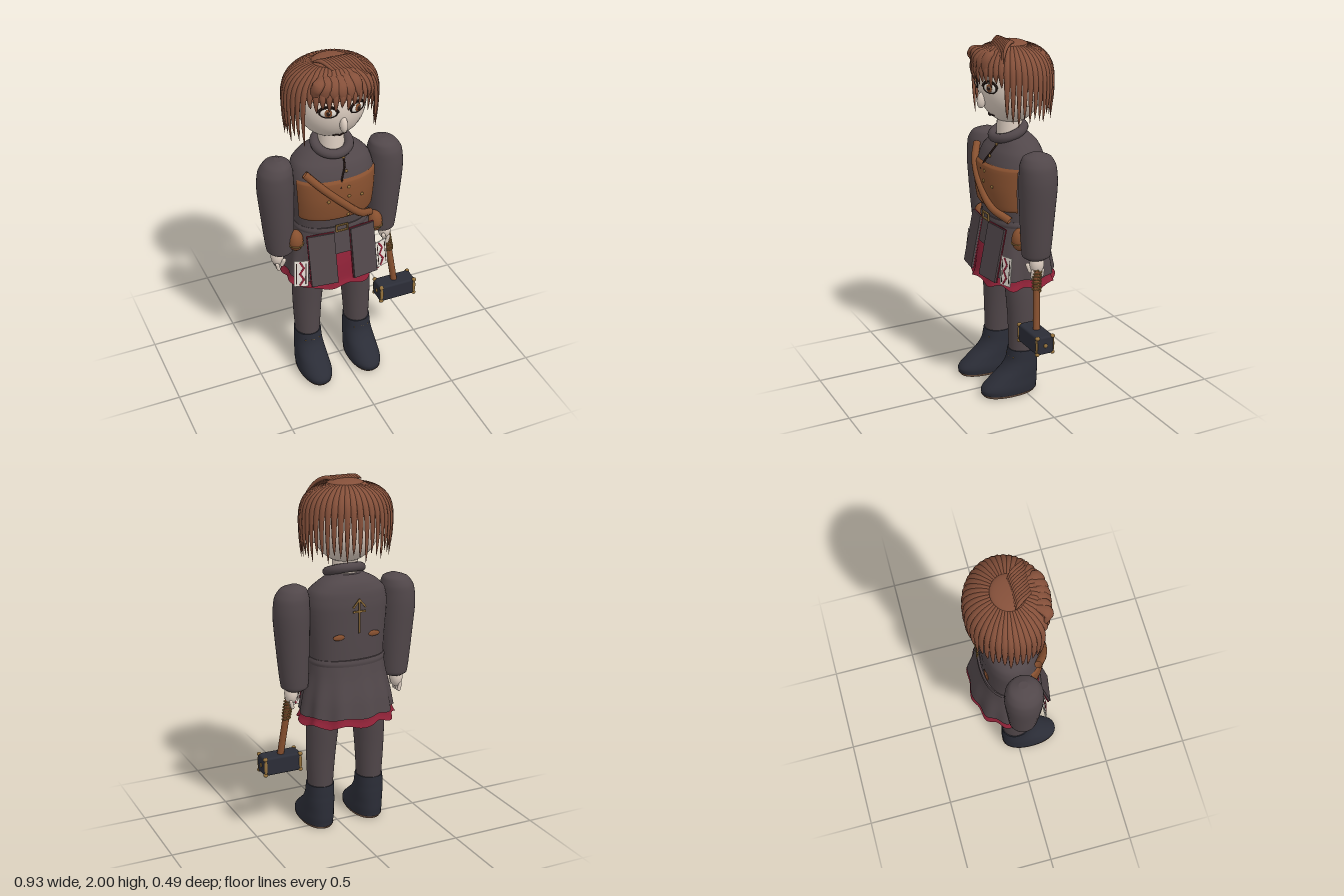
import * as THREE from 'three';
import { RoundedBoxGeometry } from 'three/addons/geometries/RoundedBoxGeometry.js';

const mat = (name, color, side = THREE.FrontSide) => {
  const m = new THREE.MeshStandardMaterial({ color, side });
  m.name = name;
  return m;
};
const V = (x, y, z) => new THREE.Vector3(x, y, z);

export function createModel() {
  const D = THREE.DoubleSide;
  const cloth = mat('greyCloth', 0x51474a, D), leather = mat('leather', 0x87502f, D);
  const hair = mat('hair', 0x85503a, D), navy = mat('navyLeather', 0x2b2d37);
  const skin = mat('skin', 0xdccdc0), red = mat('redCloth', 0x8c2136, D);
  const gold = mat('gold', 0x94713c), white = mat('white', 0xe6dfd6);
  const dark = mat('darkBrown', 0x2a1b17), sole = mat('sole', 0x8a6a55);

  const model = new THREE.Group();
  const body = new THREE.Group();
  body.name = 'figure';
  body.position.x = -0.045;
  model.add(body);

  const add = (name, geo, material, pos = [0, 0, 0], rot = [0, 0, 0], scale = [1, 1, 1], parent = body) => {
    const m = new THREE.Mesh(geo, material);
    m.name = name;
    m.position.set(...pos);
    m.rotation.set(...rot);
    m.scale.set(...scale);
    parent.add(m);
    return m;
  };
  const ball = new THREE.SphereGeometry(1, 28, 20);
  const box = (x, y, z) => new THREE.BoxGeometry(x, y, z);

  // Joins rings of points into a surface; rings run upwards
  const join = (rings, closed, caps) => {
    const n = rings[0].length, pos = [], idx = [];
    rings.forEach(r => r.forEach(p => pos.push(p.x, p.y, p.z)));
    for (let i = 0; i < rings.length - 1; i++)
      for (let j = 0; j < (closed ? n : n - 1); j++) {
        const k = (j + 1) % n, a = i * n + j, c = i * n + k;
        idx.push(a, a + n, c, c, a + n, c + n);
      }
    if (caps) [0, rings.length - 1].forEach((i, top) => {
      const mid = rings[i].reduce((s, p) => s.add(p), V(0, 0, 0)).divideScalar(n);
      const first = pos.length / 3;
      rings[i].forEach(p => pos.push(p.x, p.y, p.z));
      pos.push(mid.x, mid.y, mid.z);
      for (let j = 0; j < n; j++) {
        const a = first + j, b = first + (j + 1) % n;
        top ? idx.push(first + n, b, a) : idx.push(first + n, a, b);
      }
    });
    const g = new THREE.BufferGeometry();
    g.setAttribute('position', new THREE.Float32BufferAttribute(pos, 3));
    g.setIndex(idx);
    g.computeVertexNormals();
    return g;
  };

  // Stack of ovals given as [y, centre x, centre z, radius x, radius z]
  const loft = (rows, { n = 36, from = 0, to = Math.PI * 2, power = 2, wave = () => [1, 0] } = {}) => {
    const closed = to - from > 6.28;
    const curve = new THREE.CatmullRomCurve3(rows.map(r => V(r[0], r[1], r[2])));
    const radii = new THREE.CatmullRomCurve3(rows.map(r => V(r[3], r[4], 0)));
    const steps = (rows.length - 1) * 4, rings = [];
    for (let i = 0; i <= steps; i++) {
      const c = curve.getPoint(i / steps), r = radii.getPoint(i / steps), ring = [];
      for (let j = 0; j < (closed ? n : n + 1); j++) {
        const a = from + (to - from) * j / n, [s, dy] = wave(a, c.x);
        const e = v => Math.sign(v) * Math.abs(v) ** (2 / power);
        ring.push(V(c.y + e(Math.cos(a)) * r.x * s, c.x + dy, c.z + e(Math.sin(a)) * r.y * s));
      }
      rings.push(ring);
    }
    return join(rings, closed, closed);
  };

  // Tapered flat lock of hair along a path
  const centre = V(0, 1.72, -0.015);
  const lock = (name, pts, w, t) => {
    const c = new THREE.CatmullRomCurve3(pts), rings = [], steps = 14;
    for (let i = 0; i <= steps; i++) {
      const u = i / steps, p = c.getPoint(u), T = c.getTangent(u);
      const N = p.clone().sub(centre).normalize();
      const B = T.clone().cross(N).normalize();
      N.copy(B).cross(T).normalize();
      const f = Math.min(1, 0.25 + u * 3) * Math.min(1, Math.sqrt(1.001 - u) * 1.5);
      rings.push([...Array(8)].map((_, j) => {
        const a = j * Math.PI / 4;
        return p.clone().addScaledVector(B, Math.cos(a) * w * f).addScaledVector(N, Math.sin(a) * t * f);
      }));
    }
    add(name, join(rings, true, false), hair);
  };

  // Legs, boots, sleeves and hands
  for (const s of [-1, 1]) {
    add('leg', loft([[0.24, s * 0.155, -0.005, 0.07, 0.078], [0.45, s * 0.152, -0.01, 0.082, 0.088],
      [0.65, s * 0.14, -0.015, 0.09, 0.104], [0.92, s * 0.11, -0.02, 0.09, 0.11]]), cloth);
    add('boot', loft([[0.015, s * 0.155, 0.08, 0.088, 0.165], [0.045, s * 0.155, 0.08, 0.092, 0.168],
      [0.1, s * 0.155, 0.05, 0.088, 0.14], [0.15, s * 0.155, 0.018, 0.084, 0.108],
      [0.2, s * 0.155, 0.001, 0.079, 0.09], [0.265, s * 0.155, -0.005, 0.076, 0.083]], { power: 2.2 }), navy);
    add('sole', loft([[0, s * 0.155, 0.08, 0.08, 0.155], [0.016, s * 0.155, 0.08, 0.09, 0.168]], { power: 2.2 }), sole);
    for (const d of [-0.035, 0, 0.035])
      add('bootStitch', box(0.02, 0.006, 0.008), gold, [s * 0.155 + d, 0.225, 0.08 - Math.abs(d) * 0.25]);
    add('sleeve', loft([[0.85, s * 0.308, -0.008, 0.05, 0.055], [0.868, s * 0.308, -0.008, 0.074, 0.078],
      [0.92, s * 0.31, -0.008, 0.08, 0.083], [1.1, s * 0.316, -0.008, 0.092, 0.096],
      [1.28, s * 0.322, -0.01, 0.1, 0.105], [1.37, s * 0.318, -0.01, 0.094, 0.1],
      [1.42, s * 0.308, -0.01, 0.07, 0.077], [1.442, s * 0.3, -0.01, 0.02, 0.025]]), cloth);
    const hx = s * 0.327;
    add('hand', ball, skin, [hx, 0.825, -0.003], [0, 0, 0], [0.036, 0.058, 0.04]);
    for (let i = 0; i < 4; i++)
      add('finger', new THREE.CapsuleGeometry(0.0105, 0.035, 4, 8), skin, [hx + s * 0.008, 0.772, -0.032 + i * 0.02], [0, 0, -s * 0.25]);
    add('thumb', new THREE.CapsuleGeometry(0.012, 0.035, 4, 8), skin, [hx - s * 0.02, 0.8, 0.035], [0.3, 0, s * 0.3]);
  }

  // Jacket torso, leather chest guard and shoulder strap
  const torso = [[0.99, 0, -0.02, 0.212, 0.142], [1.1, 0, -0.015, 0.218, 0.15], [1.3, 0, -0.01, 0.236, 0.158],
    [1.39, 0, -0.022, 0.218, 0.138], [1.445, 0, -0.032, 0.16, 0.106], [1.485, 0, -0.025, 0.08, 0.075]];
  add('jacket', loft(torso, { power: 2.3 }), cloth);
  add('chestGuard', loft([[1.085, 0, -0.01, 0.222, 0.155], [1.1, 0, -0.01, 0.228, 0.166], [1.21, 0, -0.006, 0.236, 0.176],
    [1.315, 0, -0.006, 0.241, 0.168], [1.332, 0, -0.008, 0.234, 0.154]], { from: 0.35, to: Math.PI - 0.35, power: 2.3 }), leather);
  const strap = new THREE.CatmullRomCurve3([V(-0.195, 1.385, 0.1), V(-0.12, 1.31, 0.148), V(0, 1.195, 0.172), V(0.1, 1.1, 0.155), V(0.19, 1.04, 0.09)]);
  add('shoulderStrap', new THREE.TubeGeometry(strap, 32, 0.021, 10), leather);
  for (const x of [-0.1, 0.11]) add('backPatch', ball, leather, [x, 1.16, -0.158], [0, 0, 0], [0.035, 0.016, 0.008]);
  add('jacketSeam', new THREE.TubeGeometry(new THREE.CatmullRomCurve3([V(0.03, 1.45, 0.07), V(0.028, 1.4, 0.112),
    V(0, 1.34, 0.145), V(-0.015, 1.29, 0.163)]), 16, 0.005, 6), dark);
  for (const [x, y, z] of [[0.03, 1.43, 0.09], [0.03, 1.37, 0.131], [0.03, 1.29, 0.164], [0.03, 1.235, 0.17], [0.03, 1.11, 0.158],
    [-0.085, 1.22, 0.162], [0.11, 1.22, 0.158]])
    add('button', ball, gold, [x, y, z], [0, 0, 0], [0.009, 0.009, 0.006]);

  // Collar and neck
  add('collar', new THREE.TorusGeometry(0.088, 0.026, 12, 36), cloth, [0, 1.49, 0.005], [Math.PI / 2 + 0.35, 0, 0], [1.05, 1, 1]);
  add('neck', new THREE.CylinderGeometry(0.068, 0.074, 0.14, 28), skin, [0, 1.515, -0.005]);

  // Scalloped coat skirt, open in front, above a red underskirt
  const ripple = k => (a, y) => [1 + 0.035 * Math.cos(11 * a) * Math.max(0, (1 - y) / 0.33), k * Math.sin(9 * a) * Math.max(0, (0.85 - y) / 0.2)];
  add('coatSkirt', loft([[0.705, 0, -0.02, 0.268, 0.213], [0.8, 0, -0.02, 0.252, 0.197], [0.92, 0, -0.02, 0.226, 0.167],
    [1.0, 0, -0.02, 0.215, 0.152]], { n: 110, from: Math.PI / 2 + 0.2, to: Math.PI * 2.5 - 0.2, power: 2.2, wave: ripple(0.008) }), cloth);
  add('redUnderskirt', loft([[0.66, 0, -0.02, 0.278, 0.217], [0.69, 0, -0.02, 0.262, 0.203], [0.8, 0, -0.02, 0.242, 0.186],
    [0.95, 0, -0.02, 0.208, 0.142]], { n: 110, power: 2.2, wave: ripple(0.012) }), red);
  for (const s of [-1, 1]) {
    add('frontFlap', box(0.15, 0.3, 0.012), cloth, [s * 0.122, 0.85, 0.165], [-0.2, s * 0.16, 0]);
    add('flapLining', box(0.156, 0.304, 0.006), red, [s * 0.122, 0.85, 0.157], [-0.2, s * 0.16, 0]);
  }
  add('beltTail', box(0.088, 0.14, 0.012), cloth, [0, 0.935, 0.146], [-0.2, 0, 0]);

  // Belt, buckle and pouches
  add('belt', loft([[0.99, 0, -0.02, 0.218, 0.156], [1.005, 0, -0.02, 0.222, 0.158], [1.025, 0, -0.02, 0.216, 0.154]], { power: 2.2 }), cloth);
  for (const s of [-1, 1]) {
    add('buckleSide', box(0.007, 0.038, 0.01), gold, [s * 0.033, 1.02, 0.143]);
    add('buckleBar', box(0.072, 0.007, 0.01), gold, [0, 1.02 + s * 0.018, 0.143]);
    add('pouch', ball, leather, [s * 0.238, 0.945, 0.055], [0, 0, 0], [0.042, 0.065, 0.045]);
    add('pouchRing', new THREE.TorusGeometry(0.037, 0.004, 8, 24), gold, [s * 0.238, 0.925, 0.057], [Math.PI / 2, 0, 0], [1.08, 1.15, 1]);
    // White hanging tag with a red zigzag
    const tag = new THREE.Group();
    tag.name = 'hangingTag';
    tag.position.set(s * 0.242, 0.775, 0.14);
    tag.rotation.set(-0.12, s * 0.3, s * 0.06);
    body.add(tag);
    add('tagPlate', box(0.078, 0.16, 0.006), white, [0, 0, 0], [0, 0, 0], [1, 1, 1], tag);
    for (let i = 0; i < 4; i++)
      add('tagZigzag', box(0.011, 0.046, 0.009), red, [s * -0.004, 0.054 - i * 0.036, 0], [0, 0, (i % 2 ? -1 : 1) * 0.55], [1, 1, 1], tag);
    for (const d of [-1, 1]) add('tagEdge', box(0.005, 0.13, 0.008), dark, [d * 0.027, 0, 0], [0, 0, 0], [1, 1, 1], tag);
  }

  // Arrow ornament on the back
  add('arrowShaft', box(0.01, 0.18, 0.006), gold, [0, 1.27, -0.183]);
  for (const s of [-1, 1]) {
    add('arrowBarb', box(0.009, 0.06, 0.006), gold, [s * 0.018, 1.345, -0.183], [0, 0, s * 0.7]);
    add('arrowArm', box(0.035, 0.01, 0.006), gold, [s * 0.02, 1.3, -0.183]);
  }

  // Head and face
  add('head', ball, skin, [0, 1.745, -0.01], [0, 0, 0], [0.19, 0.207, 0.176]);
  add('nose', ball, skin, [0, 1.675, 0.163], [-0.1, 0, 0], [0.021, 0.044, 0.026]);
  add('mouth', new THREE.TubeGeometry(new THREE.CatmullRomCurve3([V(-0.038, 1.59, 0.103), V(-0.012, 1.592, 0.114), V(0, 1.587, 0.114),
    V(0.012, 1.592, 0.114), V(0.038, 1.59, 0.103)]), 16, 0.0045, 6), dark);
  for (const s of [-1, 1]) {
    add('ear', ball, skin, [s * 0.188, 1.7, -0.02], [0, 0, 0], [0.018, 0.042, 0.03]);
    const eye = new THREE.Group();
    eye.name = 'eye';
    eye.position.set(s * 0.079, 1.755, 0.148);
    eye.rotation.y = s * 0.38;
    body.add(eye);
    add('eyeWhite', ball, white, [0, 0, 0], [0, 0, 0], [0.046, 0.026, 0.012], eye);
    add('iris', ball, leather, [0, 0, 0.008], [0, 0, 0], [0.021, 0.022, 0.008], eye);
    add('pupil', ball, dark, [0, 0, 0.013], [0, 0, 0], [0.011, 0.012, 0.006], eye);
    add('glint', ball, white, [0.006, 0.008, 0.018], [0, 0, 0], [0.004, 0.004, 0.003], eye);
    add('eyelid', new THREE.TorusGeometry(0.046, 0.0045, 6, 32), dark, [0, 0, 0.003], [0, 0, 0], [1, 0.6, 1], eye);
    add('upperLash', new THREE.TorusGeometry(0.05, 0.006, 6, 24, Math.PI), dark, [0, 0.004, 0.005], [0, 0, 0], [1, 0.66, 1], eye);
  }

  // Bobbed hair: crown, radiating locks and a swept fringe
  add('hairCap', new THREE.SphereGeometry(1, 40, 16, 0, Math.PI * 2, 0, 1.25), hair, [0, 1.74, -0.015], [0, 0, 0], [0.226, 0.24, 0.195]);
  add('crown', ball, hair, [0, 1.965, -0.01], [0, 0, 0], [0.1, 0.022, 0.09]);
  const count = 44;
  for (let i = 0; i < count; i++) {
    const a = (i + 0.5) / count * Math.PI * 2, front = Math.sin(a) > 0.7;
    const end = front ? 1.775 + 0.014 * Math.sin(i * 2.4) : 1.585 + 0.025 * Math.sin(i * 2.1) + (Math.sin(a) < -0.3 ? 0.015 : 0);
    const at = (r, y) => V(Math.cos(a) * 0.246 * r, y, -0.015 + Math.sin(a) * 0.207 * r);
    const low = front ? [[1, 1.84], [0.95, end]] : [[1, 1.84], [1.03, 1.72], [0.99, end]];
    lock('hairLock', [at(0.3, 1.97), at(0.62, 1.945), at(0.88, 1.9), ...low.map(p => at(...p))], front ? 0.02 : 0.0185, 0.012);
  }
  for (let i = 0; i < 11; i++) {
    const x = -0.1 + i * 0.016;
    lock('partedStrand', [V(x, 1.978, 0), V(x + 0.03, 1.99, 0.035), V(x + 0.07, 1.962, 0.085), V(x + 0.115, 1.9, 0.15 - i * 0.003)], 0.011, 0.011);
  }
  for (let i = 0; i < 6; i++) {
    const x = -0.15 + i * 0.045;
    lock('fringeLock', [V(x * 0.6, 1.945, 0.09), V(x * 0.9, 1.925, 0.155), V(x, 1.885, 0.187 - x * x * 1.8), V(x + 0.012, 1.815, 0.185 - x * x * 2.2)], 0.032, 0.014);
  }

  // Hammer held in the left hand
  const handle = new THREE.CatmullRomCurve3([V(0.332, 0.83, 0), V(0.36, 0.63, 0.015), V(0.387, 0.43, 0.03)]);
  add('hammerHandle', new THREE.TubeGeometry(handle, 12, 0.019, 12), leather);
  const helix = [...Array(57)].map((_, i) => {
    const p = handle.getPoint(0.08 + i / 56 * 0.3), a = i / 8 * Math.PI * 2;
    return V(p.x + Math.cos(a) * 0.024, p.y, p.z + Math.sin(a) * 0.024);
  });
  add('handleWire', new THREE.TubeGeometry(new THREE.CatmullRomCurve3(helix), 150, 0.004, 6), gold);
  const hammer = new THREE.Group();
  hammer.name = 'hammerHead';
  hammer.position.set(0.385, 0.418, 0.032);
  body.add(hammer);
  add('hammerBlock', new RoundedBoxGeometry(0.226, 0.104, 0.104, 3, 0.012), navy, [0, 0, 0], [0, 0, 0], [1, 1, 1], hammer);
  for (const s of [-1, 1]) {
    add('hammerStud', ball, gold, [s * 0.113, 0, 0], [0, 0, 0], [0.006, 0.012, 0.012], hammer);
    for (const f of [-1, 1]) {
      add('hammerTrim', ball, gold, [s * 0.104, 0, f * 0.05], [0, 0, 0], [0.01, 0.045, 0.006], hammer);
      for (const h of [-1, 1])
        add('hammerCorner', ball, gold, [s * 0.105, h * 0.047, f * 0.046], [0, 0, 0], [0.013, 0.011, 0.013], hammer);
    }
  }
  return model;
}
